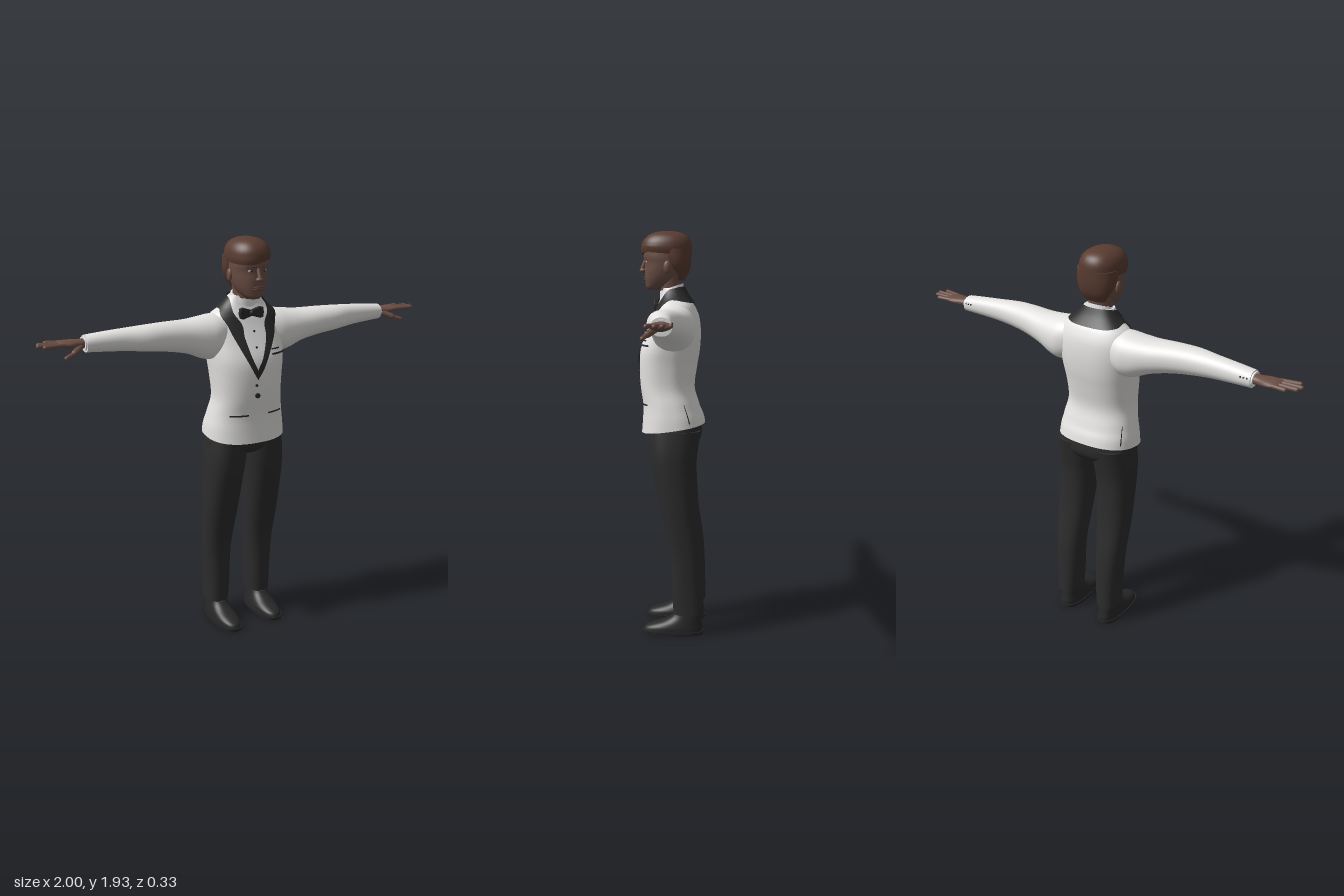
import * as THREE from 'three';

const mat = (name, color, side = THREE.FrontSide) => Object.assign(new THREE.MeshStandardMaterial({ color, side }), { name });
const V = (x, y, z) => new THREE.Vector3(x, y, z);
const pw = (v, n) => Math.sign(v) * Math.abs(v) ** (2 / n);

// Catmull-Rom subdivision of rows of numbers
function smooth(rows, sub) {
  const out = [], at = i => rows[Math.max(0, Math.min(rows.length - 1, i))];
  for (let i = 0; i < rows.length - 1; i++) {
    for (let k = 0; k < sub; k++) {
      const t = k / sub, [p, q, r, s] = [at(i - 1), at(i), at(i + 1), at(i + 2)];
      out.push(q.map((v, c) => v + 0.5 * t * (r[c] - p[c] + t * (2 * p[c] - 5 * v + 4 * r[c] - s[c] + t * (3 * (v - r[c]) + s[c] - p[c])))));
    }
  }
  out.push(rows[rows.length - 1]);
  return out;
}

// Point on a superellipse ring [y, xMin, xMax, zMin, zMax]; angle 0 is the front
const ringPoint = ([y, x0, x1, z0, z1], a, n) =>
  V((x0 + x1) / 2 + (x1 - x0) / 2 * pw(Math.sin(a), n), y, (z0 + z1) / 2 + (z1 - z0) / 2 * pw(Math.cos(a), n));

// Grid of points to smooth geometry
function gridGeometry(grid, closed, caps) {
  const pos = [], idx = [], w = grid[0].length;
  grid.forEach(row => row.forEach(p => pos.push(p.x, p.y, p.z)));
  for (let i = 0; i < grid.length - 1; i++) {
    for (let j = 0; j < (closed ? w : w - 1); j++) {
      const k = (j + 1) % w, a = i * w + j, b = i * w + k, c = a + w, d = b + w;
      idx.push(a, b, c, b, d, c);
    }
  }
  if (caps) [grid[0], grid[grid.length - 1]].forEach((row, top) => {
    const base = pos.length / 3, mid = V(0, 0, 0);
    row.forEach(p => { pos.push(p.x, p.y, p.z); mid.addScaledVector(p, 1 / w); });
    pos.push(mid.x, mid.y, mid.z);
    for (let j = 0; j < w; j++) {
      const a = base + j, b = base + (j + 1) % w;
      top ? idx.push(a, b, base + w) : idx.push(b, a, base + w);
    }
  });
  const g = new THREE.BufferGeometry();
  g.setAttribute('position', new THREE.Float32BufferAttribute(pos, 3));
  g.setIndex(idx);
  g.computeVertexNormals();
  return g;
}

// Closed body through rings, with an optional rule that moves each point
function loft(rings, { n = 2.2, sub = 4, seg = 36, rule } = {}) {
  const grid = smooth(rings, sub).map(r => Array.from({ length: seg }, (_, j) => {
    const p = ringPoint(r, j / seg * Math.PI * 2, n);
    if (rule) rule(p);
    return p;
  }));
  return gridGeometry(grid, true, true);
}
// The same along x: rings are [x, yMin, yMax, zMin, zMax]
const limb = (rings, s, o) => loft(rings.map(([x, a, b, c, d]) => s > 0 ? [x, -b, -a, c, d] : [x, a, b, c, d]), o).rotateZ(-s * Math.PI / 2);
const flip = (rings, s) => s > 0 ? rings : rings.map(([y, a, b, c, d]) => [y, -b, -a, c, d]);

const TORSO = [
  [0.985, -0.205, 0.195, -0.155, 0.15], [1.05, -0.2, 0.19, -0.145, 0.145], [1.12, -0.187, 0.18, -0.125, 0.143],
  [1.2, -0.172, 0.165, -0.103, 0.155], [1.3, -0.178, 0.17, -0.115, 0.16], [1.38, -0.186, 0.182, -0.128, 0.153],
  [1.46, -0.19, 0.19, -0.132, 0.12], [1.53, -0.185, 0.185, -0.125, 0.09], [1.58, -0.165, 0.165, -0.105, 0.072],
  [1.61, -0.125, 0.125, -0.085, 0.06], [1.64, -0.095, 0.095, -0.065, 0.053], [1.67, -0.075, 0.075, -0.05, 0.05]];
const TN = 2.4, torsoRows = smooth(TORSO, 6);

// Jacket surface: ring at a height, point with offset, angle of a front x
function torsoRing(y) {
  let i = 0;
  while (i < torsoRows.length - 2 && torsoRows[i + 1][0] < y) i++;
  const a = torsoRows[i], b = torsoRows[i + 1], t = (y - a[0]) / (b[0] - a[0]);
  return a.map((v, c) => v + (b[c] - v) * t);
}
function onTorso(a, y, off) {
  const P = (b, h) => ringPoint(torsoRing(h), b, TN), e = 0.012;
  const normal = P(a + e, y).sub(P(a - e, y)).cross(P(a, y + e).sub(P(a, y - e))).normalize();
  return P(a, y).addScaledVector(normal, off);
}
function angleAt(x, y) {
  const [, x0, x1] = torsoRing(y), u = (2 * x - x0 - x1) / (x1 - x0);
  return Math.sign(u) * Math.asin(Math.min(1, Math.abs(u) ** (TN / 2)));
}
// Cloth strip over the jacket; rows are [angle, y, angle, y]
const strip = (rows, off, across = 6, sub = 5) => gridGeometry(smooth(rows, sub).map(([a, y, b, h]) =>
  Array.from({ length: across + 1 }, (_, k) => onTorso(a + (b - a) * k / across, y + (h - y) * k / across, off))), false, false);
const patch = (x0, x1, y0, y1, off) => strip([y0, y1].map(y => [angleAt(x0, y), y, angleAt(x1, y), y]), off, 6, 2);

// Rounded rod between two points
function rod(a, b, r) {
  const d = b.clone().sub(a), g = new THREE.CapsuleGeometry(r, d.length(), 5, 10);
  g.applyQuaternion(new THREE.Quaternion().setFromUnitVectors(V(0, 1, 0), d.normalize()));
  return g.translate((a.x + b.x) / 2, (a.y + b.y) / 2, (a.z + b.z) / 2);
}
const ball = (x, y, z, rx, ry, rz) => new THREE.SphereGeometry(1, 18, 12).scale(rx, ry, rz).translate(x, y, z);

export function createModel() {
  const D = THREE.DoubleSide;
  const jacket = mat('jacket white', 0xe4e3e1, D), shirt = mat('shirt white', 0xeeeeee, D), satin = mat('black satin', 0x292929, D);
  const trouser = mat('trouser black', 0x2c2c2c), leather = mat('shoe black', 0x272727), skin = mat('skin', 0x6a4e44);
  const hairBrown = mat('hair brown', 0x593c31), eyeWhite = mat('eye white', 0xb5aca6), lip = mat('lip brown', 0x5c3d37);
  const root = new THREE.Group();
  const add = (name, g, m) => { const o = new THREE.Mesh(g, m); o.name = name; root.add(o); return o; };

  // Jacket body, its hem rising toward the back
  add('jacketBody', loft(TORSO, {
    n: TN, seg: 56, rule: p => { p.y += Math.max(0, (1.1 - p.y) / 0.115) * 0.022 * (1 - p.z / 0.15); }
  }), jacket);

  // Shirt front and shawl lapels, drawn slightly toward the right at the closing
  const shift = y => -0.018 * Math.min(1, Math.max(0, (1.5 - y) / 0.15));
  const inner = [[0.0, 1.34], [0.03, 1.4], [0.055, 1.48], [0.068, 1.56]];
  const outer = [[0.0, 1.295], [0.055, 1.39], [0.102, 1.48], [0.13, 1.555]];
  const ang = (s, [x, y]) => angleAt(s * x + shift(y), y);
  add('shirtFront', strip([...inner, [0.06, 1.63]].map(p => [ang(-1, p), p[1], ang(1, p), p[1]]), 0.004, 12), shirt);
  for (const s of [1, -1]) {
    const rows = outer.map((o, i) => [ang(s, o), o[1], ang(s, inner[i]), inner[i][1]]);
    rows.push([s * 1.35, 1.605, s * 1.1, 1.645], [s * 2.0, 1.6, s * 1.9, 1.667], [s * 2.6, 1.595, s * 2.6, 1.672], [s * Math.PI, 1.595, s * Math.PI, 1.672]);
    add('shawlLapel', strip(rows, 0.008), satin);
    add('hipPocketSlit', patch(s * 0.095 - 0.045, s * 0.095 + 0.04, 1.12, 1.128, 0.004), satin);
    add('sideVent', strip([[s * 2.1, 1.04, s * 2.14, 1.04], [s * 2.04, 1.13, s * 2.06, 1.13]], 0.004, 2), satin);
  }
  add('breastPocketSlit', patch(0.07, 0.15, 1.398, 1.406, 0.004), satin);
  add('pocketSquare', patch(0.075, 0.14, 1.407, 1.42, 0.006), shirt);
  add('pocketSquareEdge', patch(0.07, 0.12, 1.421, 1.427, 0.005), satin);
  for (const [x, y, r] of [[-0.017, 1.22, 0.012], [-0.024, 1.27, 0.006], [-0.008, 1.44, 0.005], [-0.004, 1.51, 0.005]]) {
    const c = onTorso(angleAt(x, y), y, 0.004);
    add('button', new THREE.CylinderGeometry(r, r, 0.008, 16).rotateX(Math.PI / 2).translate(c.x, c.y, c.z), satin);
  }

  // Shirt collar and bow tie
  add('shirtCollar', loft([[1.6, -0.08, 0.08, -0.06, 0.06], [1.64, -0.073, 0.073, -0.053, 0.062], [1.675, -0.066, 0.066, -0.048, 0.062]],
    { rule: p => { p.y -= p.z * 0.33; } }), shirt);
  const bow = new THREE.Shape([[0, 0.01], [0.045, 0.024], [0.058, 0.02], [0.06, 0], [0.058, -0.02], [0.045, -0.024], [0, -0.01],
    [-0.045, -0.024], [-0.058, -0.02], [-0.06, 0], [-0.058, 0.02], [-0.045, 0.024]].map(p => new THREE.Vector2(...p)));
  add('bowTie', new THREE.ExtrudeGeometry(bow, { depth: 0.012, bevelThickness: 0.004, bevelSize: 0.003, bevelSegments: 2 }).translate(-0.004, 1.593, 0.071), satin);
  add('bowKnot', ball(-0.004, 1.593, 0.083, 0.013, 0.015, 0.011), satin);

  for (const s of [1, -1]) {
    // Sleeve, cuff and cuff buttons
    add('sleeve', limb([[0.08, 1.42, 1.585, -0.09, 0.06], [0.16, 1.385, 1.59, -0.115, 0.085], [0.22, 1.387, 1.584, -0.11, 0.087],
      [0.3, 1.42, 1.577, -0.09, 0.083], [0.4, 1.443, 1.578, -0.066, 0.082], [0.5, 1.456, 1.576, -0.05, 0.079], [0.6, 1.468, 1.57, -0.045, 0.058],
      [0.7, 1.475, 1.563, -0.047, 0.045], [0.785, 1.48, 1.555, -0.05, 0.037]], s), jacket);
    add('shirtCuff', limb([[0.76, 1.488, 1.549, -0.043, 0.03], [0.792, 1.488, 1.549, -0.043, 0.03]], s), shirt);
    for (const x of [0.74, 0.755, 0.77]) add('cuffButton', ball(s * x, 1.53, -0.047, 0.004, 0.004, 0.004), satin);
    // Hand
    add('palm', limb([[0.77, 1.5, 1.542, -0.036, 0.02], [0.81, 1.5, 1.54, -0.04, 0.024], [0.85, 1.504, 1.541, -0.053, 0.034],
      [0.885, 1.51, 1.54, -0.056, 0.034], [0.905, 1.517, 1.535, -0.052, 0.028]], s, { seg: 24 }), skin);
    for (const [z0, z1, x] of [[-0.046, -0.056, 0.942], [-0.022, -0.026, 0.982], [0.003, 0.003, 0.991], [0.024, 0.036, 0.972]]) {
      add('finger', rod(V(s * 0.88, 1.526, z0), V(s * x, 1.528, z1), 0.0095), skin);
    }
    add('thumb', rod(V(s * 0.81, 1.51, 0.015), V(s * 0.848, 1.492, 0.042), 0.014), skin);
    add('thumbTip', rod(V(s * 0.848, 1.492, 0.042), V(s * 0.89, 1.478, 0.058), 0.0095), skin);

    // Trouser leg, sock and shoe
    add('trouserLeg', loft(flip([[0.105, 0.065, 0.178, -0.158, -0.01], [0.2, 0.058, 0.18, -0.156, -0.005], [0.4, 0.05, 0.19, -0.148, 0.003],
      [0.6, 0.033, 0.2, -0.12, 0.045], [0.8, 0.018, 0.2, -0.11, 0.09], [0.9, 0.005, 0.198, -0.12, 0.104], [1.0, 0, 0.188, -0.138, 0.11]], s), { n: 2.4 }), trouser);
    add('sock', loft(flip([[0.07, 0.078, 0.16, -0.138, -0.015], [0.13, 0.078, 0.16, -0.138, -0.02]], s)), shirt);
    add('shoeSole', loft(flip([[0, 0.058, 0.178, -0.155, 0.138], [0.018, 0.056, 0.18, -0.157, 0.142]], s), { n: 2.5, sub: 1 }), leather);
    add('shoeUpper', loft(flip([[0.016, 0.06, 0.176, -0.152, 0.137], [0.035, 0.061, 0.175, -0.153, 0.128], [0.05, 0.065, 0.172, -0.15, 0.095],
      [0.068, 0.07, 0.168, -0.147, 0.04], [0.085, 0.073, 0.165, -0.145, 0.005], [0.1, 0.075, 0.163, -0.143, -0.012]], s), { n: 2.4 }), leather);

    // Paired features of the face
    add('ear', ball(s * 0.088, 1.765, 0.022, 0.011, 0.03, 0.018), skin);
    add('eye', ball(s * 0.034, 1.79, 0.121, 0.014, 0.007, 0.008), eyeWhite);
    add('iris', ball(s * 0.034, 1.79, 0.127, 0.006, 0.006, 0.004), satin);
    add('eyebrow', rod(V(s * 0.018, 1.808, 0.135), V(s * 0.052, 1.811, 0.119), 0.0045), hairBrown);
  }
  // Trouser seat
  add('trouserSeat', loft([[0.915, -0.14, 0.14, -0.09, 0.075], [0.94, -0.185, 0.182, -0.125, 0.1], [0.98, -0.193, 0.188, -0.14, 0.11],
    [1.05, -0.18, 0.175, -0.135, 0.11]], { n: 2.5 }), trouser);

  // Neck and head
  add('neck', loft([[1.6, -0.06, 0.06, -0.05, 0.05], [1.66, -0.057, 0.057, -0.038, 0.062], [1.73, -0.062, 0.062, -0.045, 0.062]]), skin);
  add('head', loft([[1.66, -0.025, 0.025, 0.06, 0.113], [1.672, -0.043, 0.043, 0.025, 0.127], [1.69, -0.058, 0.058, -0.01, 0.131],
    [1.715, -0.071, 0.071, -0.035, 0.134], [1.75, -0.081, 0.081, -0.06, 0.135], [1.785, -0.086, 0.086, -0.07, 0.133],
    [1.82, -0.088, 0.088, -0.076, 0.14], [1.87, -0.082, 0.082, -0.075, 0.13], [1.91, -0.05, 0.05, -0.04, 0.09]]), skin);
  add('noseBridge', rod(V(0, 1.798, 0.132), V(0, 1.758, 0.148), 0.009), skin);
  add('noseTip', ball(0, 1.752, 0.143, 0.018, 0.011, 0.017), skin);
  add('upperLip', ball(0, 1.716, 0.131, 0.026, 0.005, 0.01), lip);
  add('lowerLip', ball(0, 1.707, 0.13, 0.022, 0.006, 0.01), lip);

  // Hair: nape and sideburns, then the crown with its fringe
  add('hairBack', loft([[1.705, -0.05, 0.05, -0.052, -0.01], [1.74, -0.074, 0.074, -0.073, 0.0], [1.775, -0.09, 0.09, -0.083, 0.035],
    [1.81, -0.096, 0.096, -0.087, 0.055], [1.85, -0.096, 0.096, -0.088, 0.07]]), hairBrown);
  add('hairCrown', loft([[1.826, -0.093, 0.093, -0.085, 0.147], [1.85, -0.098, 0.098, -0.088, 0.152], [1.88, -0.094, 0.094, -0.085, 0.147],
    [1.905, -0.08, 0.08, -0.072, 0.13], [1.922, -0.058, 0.058, -0.048, 0.105], [1.932, -0.028, 0.028, -0.012, 0.07], [1.934, -0.004, 0.004, 0.02, 0.03]],
    { rule: p => { if (p.y < 1.86) p.y += 0.012 * Math.sin(p.x * 22) * Math.max(0, p.z / 0.15); } }), hairBrown);
  return root;
}
